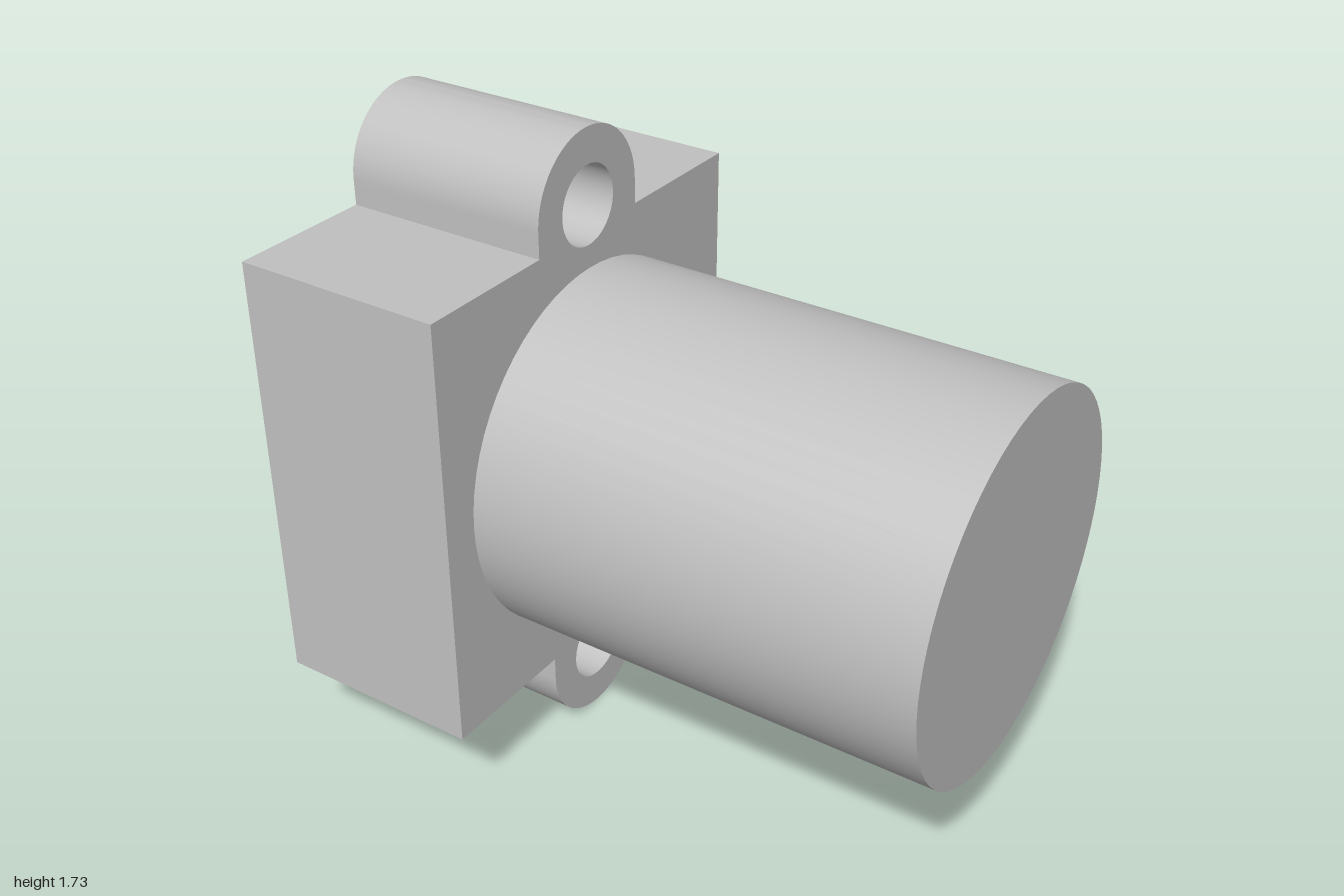
import * as THREE from 'three';
import { toCreasedNormals } from 'three/addons/utils/BufferGeometryUtils.js';

export function createModel() {
  const model = new THREE.Group();
  model.name = 'flangedCylinder';

  const grey = new THREE.MeshStandardMaterial({ color: 0xc0c0c0 });
  grey.name = 'light grey';

  const half = 0.598;      // half side of the square plate
  const depth = 0.575;     // plate thickness
  const earY = 0.665;      // distance of the ear centres from the axis
  const earR = 0.2;
  const holeR = 0.105;

  // Square plate outline with a rounded ear at top and bottom
  const outline = new THREE.Shape();
  outline.moveTo(half, -half);
  outline.lineTo(half, half);
  outline.lineTo(earR, half);
  outline.lineTo(earR, earY);
  outline.absarc(0, earY, earR, 0, Math.PI, false);
  outline.lineTo(-earR, half);
  outline.lineTo(-half, half);
  outline.lineTo(-half, -half);
  outline.lineTo(-earR, -half);
  outline.lineTo(-earR, -earY);
  outline.absarc(0, -earY, earR, Math.PI, Math.PI * 2, false);
  outline.lineTo(earR, -half);
  outline.closePath();

  // Bolt holes through both ears
  for (const s of [1, -1]) {
    const hole = new THREE.Path();
    hole.absarc(0, s * earY, holeR, 0, Math.PI * 2, true);
    outline.holes.push(hole);
  }

  const plateGeometry = new THREE.ExtrudeGeometry(outline, {
    depth, bevelEnabled: false, curveSegments: 32,
  });
  plateGeometry.translate(0, 0, -depth / 2);
  plateGeometry.rotateY(Math.PI / 2);
  const plate = new THREE.Mesh(toCreasedNormals(plateGeometry, 0.5), grey);
  plate.name = 'mountingPlate';

  // Round body on the face of the plate
  const length = 1.2;
  const bodyGeometry = new THREE.CylinderGeometry(0.498, 0.498, length, 64);
  bodyGeometry.rotateZ(-Math.PI / 2);
  const body = new THREE.Mesh(bodyGeometry, grey);
  body.name = 'cylinderBody';
  body.position.x = 1.486 - length / 2;

  // The whole part is turned about y, with a slight roll on its own axis
  const part = new THREE.Group();
  part.name = 'turnedPart';
  part.add(plate, body);
  part.rotation.set(-0.0093, THREE.MathUtils.degToRad(15), 0, 'YXZ');
  part.position.set(-0.568, 0.866, 0.1);
  model.add(part);
  return model;
}
